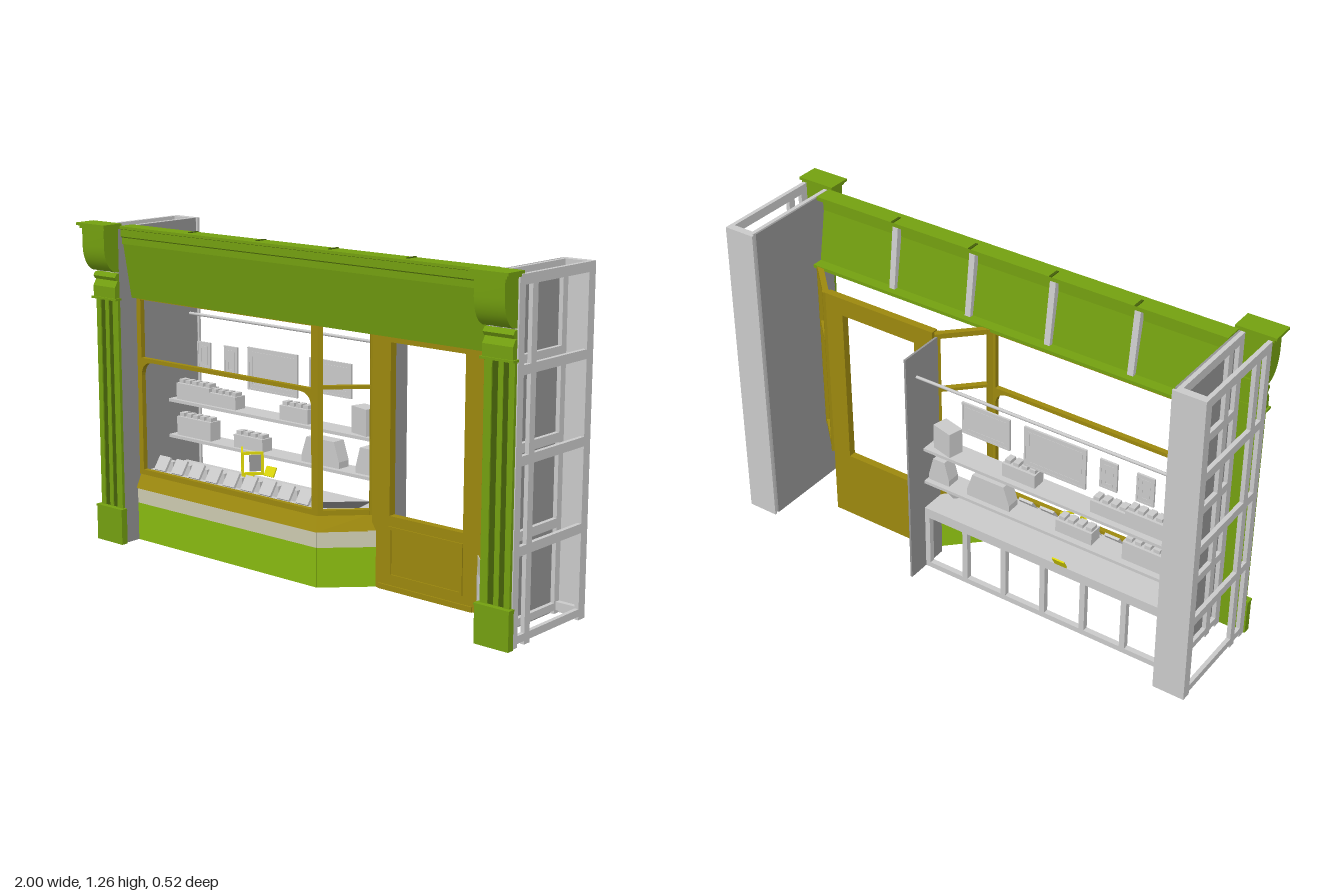
import * as THREE from 'three';
import { toCreasedNormals } from 'three/addons/utils/BufferGeometryUtils.js';

const paint = (name, color, side = THREE.FrontSide) => {
  const m = new THREE.MeshStandardMaterial({ color, side });
  m.name = name;
  return m;
};

export function createModel() {
  const green = paint('leaf green', 0x74a010);
  const bright = paint('bright green', 0x88ba10);
  const deep = paint('deep green', 0x456008);
  const olive = paint('olive wood', 0x9c880e, THREE.DoubleSide);
  const cream = paint('cream', 0xcccab0);
  const grey = paint('light grey', 0xcacaca);
  const slate = paint('mid grey', 0x959595, THREE.DoubleSide);
  const yellow = paint('yellow', 0xdcd60a);

  const root = new THREE.Group();
  root.name = 'shopfront';
  const add = (name, geo, mat, parent = root) => {
    const m = new THREE.Mesh(geo, mat);
    m.name = name;
    parent.add(m);
    return m;
  };
  // Box from its limits
  const box = (name, x0, x1, y0, y1, z0, z1, mat, parent) => {
    const m = add(name, new THREE.BoxGeometry(x1 - x0, y1 - y0, z1 - z0), mat, parent);
    m.position.set((x0 + x1) / 2, (y0 + y1) / 2, (z0 + z1) / 2);
    return m;
  };
  // Upright board standing on a plan line from a to b
  const wall = (name, [ax, az], [bx, bz], y0, y1, t, mat) => {
    const m = add(name, new THREE.BoxGeometry(Math.hypot(bx - ax, bz - az), y1 - y0, t), mat);
    m.position.set((ax + bx) / 2, (y0 + y1) / 2, (az + bz) / 2);
    m.rotation.y = Math.atan2(az - bz, bx - ax);
    return m;
  };
  const shapeOf = pts => new THREE.Shape(pts.map(p => new THREE.Vector2(...p)));
  const rect = (x0, x1, y0, y1) => shapeOf([[x0, y0], [x1, y0], [x1, y1], [x0, y1]]);
  const extrude = (shape, depth) =>
    new THREE.ExtrudeGeometry(shape, { depth, bevelEnabled: false, curveSegments: 8 });
  // Moulding: profile of [z, y] points run along x
  const moulding = (name, pts, x0, x1, mat, parent) => {
    const g = extrude(shapeOf(pts), x1 - x0).rotateY(-Math.PI / 2).translate(x1, 0, 0);
    return add(name, toCreasedNormals(g, 0.5), mat, parent);
  };
  // Sloped band between a lower and an upper path of equal length
  const band = (name, low, high, mat) => {
    const pos = [];
    for (let i = 0; i + 1 < low.length; i++) {
      const [a, b, c, d] = [low[i], low[i + 1], high[i + 1], high[i]];
      pos.push(...a, ...b, ...c, ...a, ...c, ...d);
    }
    const g = new THREE.BufferGeometry();
    g.setAttribute('position', new THREE.Float32BufferAttribute(pos, 3));
    g.computeVertexNormals();
    return add(name, g, mat);
  };

  // Side piers and pilasters
  const corbel = [[0.175, 1.235], [0.175, 1.07], [0.184, 1.07]];
  for (let i = 1; i <= 8; i++) {
    const a = i / 8 * Math.PI / 2;
    corbel.push([0.184 + 0.063 * Math.sin(a), 1.17 - 0.1 * Math.cos(a)]);
  }
  corbel.push([0.247, 1.235]);
  for (const s of [-1, 1]) {
    const pier = new THREE.Group();
    pier.name = s > 0 ? 'leftPier' : 'rightPier';
    root.add(pier);
    const b = (name, u0, u1, y0, y1, z0, z1, mat) =>
      box(name, Math.min(s * u0, s * u1), Math.max(s * u0, s * u1), y0, y1, z0, z1, mat, pier);
    b('innerPanel', 0.86, 0.868, 0, 1.24, -0.24, 0.175, slate);
    b('backPanel', 0.86, 0.984, 0, 1.24, -0.26, -0.25, grey);
    for (const u of [0.868, 0.968]) {
      for (const [z0, z1] of [[-0.25, -0.222], [0.07, 0.1], [0.14, 0.172]])
        b('pierStud', u, u + 0.016, 0, 1.24, z0, z1, grey);
      for (const [y0, y1] of [[0.013, 0.04], [0.312, 0.345], [0.615, 0.648], [0.914, 0.947], [1.205, 1.24]])
        b('pierRail', u, u + 0.016, y0, y1, -0.25, 0.172, grey);
    }
    for (const y of [0.013, 1.21]) b('pierCrossRail', 0.87, 0.98, y, y + 0.03, -0.25, -0.23, grey);

    b('pilasterShaft', 0.86, 0.98, 0.14, 0.965, 0.172, 0.178, green);
    b('shaftEdge', 0.86, 0.89, 0.14, 0.965, 0.178, 0.184, green);
    b('shaftEdge', 0.957, 0.98, 0.14, 0.965, 0.178, 0.184, green);
    b('shaftPanel', 0.89, 0.957, 0.14, 0.965, 0.177, 0.179, deep);
    b('shaftReed', 0.914, 0.934, 0.14, 0.965, 0.177, 0.182, green);
    b('pilasterBase', 0.85, 0.99, 0, 0.135, 0.172, 0.2, green);
    b('baseCap', 0.848, 0.992, 0.135, 0.142, 0.172, 0.203, green);
    const x0 = s > 0 ? 0.86 : -0.98, x1 = x0 + 0.12;
    moulding('corbel', corbel, x0, x1, green, pier);
    moulding('neckRoll', [[0.174, 1.065], [0.174, 1.035], [0.188, 1.037], [0.196, 1.05], [0.188, 1.063]], x0, x1, green, pier);
    moulding('neck', [[0.174, 1.035], [0.174, 0.97], [0.197, 0.97], [0.197, 1.012], [0.183, 1.035]], x0, x1, green, pier);
    b('neckPlate', 0.853, 0.987, 0.962, 0.97, 0.172, 0.203, green);
    b('capLower', 0.853, 0.99, 1.235, 1.246, 0.172, 0.252, green);
    b('capUpper', 0.845, 1, 1.246, 1.256, 0.17, 0.26, green);
  }

  // Fascia: leaning board, cornice, lintel and its back studs
  moulding('fasciaBoard', [[0.1, 0.965], [0.112, 0.965], [0.15, 1.18], [0.138, 1.18]], -0.86, 0.86, green);
  moulding('cornice', [[0.135, 1.176], [0.154, 1.176], [0.154, 1.2], [0.162, 1.205], [0.162, 1.232],
    [0.172, 1.235], [0.172, 1.245], [0.1, 1.245], [0.1, 1.23], [0.135, 1.23]], -0.86, 0.86, green);
  box('lintel', -0.86, 0.86, 0.965, 0.978, 0.06, 0.11, green);
  for (let i = 0; i < 4; i++) {
    const x = -0.51 + i * 0.34;
    moulding('fasciaStud', [[0.085, 0.978], [0.102, 0.978], [0.136, 1.18], [0.136, 1.23], [0.118, 1.23]], x - 0.012, x + 0.012, grey);
    box('topJoint', x - 0.005, x + 0.005, 1.245, 1.248, 0.1, 0.145, deep);
  }

  // Stall riser and sills, following the bay
  const front = [-0.86, 0.095], corner = [0.07, 0.095], inner = [0.238, -0.07];
  const rightIn = [0.665, -0.07], rightOut = [0.825, 0.09];
  for (const [a, b] of [[front, corner], [corner, inner]]) {
    wall('riser', a, b, 0, 0.15, 0.01, bright);
    wall('riserBand', a, b, 0.15, 0.212, 0.012, cream);
  }
  wall('riserBand', rightIn, rightOut, 0.15, 0.212, 0.01, cream);
  wall('floorRail', rightIn, rightOut, 0, 0.014, 0.02, grey);
  wall('riserStud', rightIn, [0.695, -0.04], 0, 0.15, 0.012, grey);
  band('frontSill', [[-0.86, 0.21, 0.108], [0.075, 0.21, 0.108], [0.245, 0.21, -0.07]],
    [[-0.86, 0.272, 0.078], [0.055, 0.272, 0.078], [0.205, 0.272, -0.07]], olive);
  band('rightSill', [[0.66, 0.21, -0.07], [0.83, 0.21, 0.1]], [[0.69, 0.272, -0.07], [0.845, 0.272, 0.08]], olive);

  // Front window with a rounded lower light
  const frame = rect(-0.86, 0.065, 0.265, 0.97);
  frame.holes.push(rect(-0.838, 0.036, 0.73, 0.957));
  const light = new THREE.Path();
  light.moveTo(-0.838, 0.285).lineTo(0.036, 0.285).lineTo(0.036, 0.66);
  light.quadraticCurveTo(0.034, 0.713, -0.022, 0.715).lineTo(-0.782, 0.715);
  light.quadraticCurveTo(-0.836, 0.713, -0.838, 0.66);
  frame.holes.push(light);
  add('frontWindowFrame', extrude(frame, 0.02), olive).position.z = 0.068;

  // Angled side windows
  for (const [a, b] of [[[0.055, 0.078], [0.203, -0.07]], [[0.695, -0.07], [0.845, 0.078]]]) {
    for (const [y0, y1] of [[0.265, 0.285], [0.73, 0.742], [0.955, 0.975]])
      wall('sideWindowRail', a, b, y0, y1, 0.022, olive);
    const dx = 0.014, dz = Math.sign(b[1] - a[1]) * 0.014;
    wall('sideWindowPost', a, [a[0] + dx, a[1] + dz], 0.265, 0.975, 0.026, olive);
    wall('sideWindowPost', [b[0] - dx, b[1] - dz], b, 0.265, 0.975, 0.026, olive);
  }

  // Door
  const door = rect(0.205, 0.69, 0, 0.98);
  door.holes.push(rect(0.287, 0.614, 0.278, 0.909));
  add('door', extrude(door, 0.03), olive).position.z = -0.08;
  box('kickBoard', 0.24, 0.66, 0, 0.02, -0.052, -0.044, olive);
  const trim = rect(0.285, 0.616, 0.05, 0.24);
  trim.holes.push(rect(0.297, 0.604, 0.062, 0.228));
  add('doorPanelTrim', extrude(trim, 0.005), olive).position.z = -0.05;

  // Display counter, its frame, partition and rod
  const top = shapeOf([[-0.86, -0.068], [0.05, -0.068], [0.19, 0.07], [0.19, 0.172], [-0.86, 0.172]]);
  add('counter', extrude(top, 0.018).rotateX(-Math.PI / 2), grey).position.y = 0.254;
  band('counterEdge', [[0.0, 0.275, 0.05], [0.13, 0.275, -0.07]], [[0.055, 0.31, 0.06], [0.19, 0.31, -0.07]], slate);
  for (const y of [0, 0.232]) box('counterRail', -0.86, 0.19, y, y + 0.022, -0.172, -0.15, grey);
  for (let i = 0; i < 7; i++) {
    const x = -0.86 + i * 0.171;
    box('counterLeg', x, x + 0.022, 0.022, 0.232, -0.172, -0.15, grey);
  }
  box('partition', 0.187, 0.195, 0, 0.965, -0.26, -0.07, slate);
  const rod = add('rod', new THREE.CylinderGeometry(0.006, 0.006, 1.05, 8).rotateZ(Math.PI / 2), grey);
  rod.position.set(-0.335, 0.865, -0.2);
  for (const y of [0.383, 0.528]) box('shelf', -0.86, 0.187, y, y + 0.012, -0.17, -0.075, grey);

  // Goods on the shelves: x range, base, height, number of tops
  const goods = [[-0.83, -0.65, 0.54, 0.065, 5], [-0.65, -0.51, 0.54, 0.05, 4], [-0.28, -0.14, 0.54, 0.055, 4],
    [-0.83, -0.645, 0.395, 0.075, 5], [-0.52, -0.37, 0.395, 0.05, 4]];
  for (const [x0, x1, y, h, n] of goods) {
    box('goodsBox', x0, x1, y, y + h, -0.145, -0.09, grey);
    const w = (x1 - x0) / n;
    for (let i = 0; i < n; i++)
      box('goodsTop', x0 + (i + 0.15) * w, x0 + (i + 0.8) * w, y + h, y + h + 0.014, -0.135, -0.1, grey);
  }
  const bag = (x0, x1, y, h, inset) => {
    const s = shapeOf([[x0, y], [x1, y], [x1, y + h * 0.25], [x1 - inset, y + h], [x0 + inset, y + h], [x0, y + h * 0.25]]);
    add('bag', extrude(s, 0.055), grey).position.z = -0.15;
  };
  bag(-0.175, 0.01, 0.395, 0.098, 0.025);
  bag(0.09, 0.18, 0.395, 0.098, 0.02);
  box('tin', 0.065, 0.155, 0.54, 0.64, -0.155, -0.095, grey).rotation.y = -0.25;

  // Cards leaning along the counter
  for (let i = 0; i < 9; i++) {
    const x = -0.79 + i * 0.093;
    box('card', x - 0.03, x + 0.03, 0.275, 0.335, 0.024, 0.034, grey).rotation.x = -0.6;
    box('cardStand', x - 0.012, x + 0.04, 0.272, 0.315, -0.01, 0.014, grey);
  }

  // Hanging pictures
  for (const [x0, x1, y0, y1] of [[-0.755, -0.685, 0.66, 0.775], [-0.61, -0.54, 0.66, 0.775],
    [-0.485, -0.23, 0.62, 0.785], [-0.17, 0.035, 0.655, 0.785]]) {
    box('picture', x0 + 0.005, x1 - 0.005, y0 + 0.005, y1 - 0.005, -0.14, -0.135, grey);
    for (const k of [0, 0.016]) {
      const ring = rect(x0 + k, x1 - k, y0 + k, y1 - k);
      ring.holes.push(rect(x0 + k + 0.008, x1 - k - 0.008, y0 + k + 0.008, y1 - k - 0.008));
      add('pictureFrame', extrude(ring, 0.008), grey).position.set(0, 0, -0.141);
    }
  }

  // Yellow folding stand
  const stand = new THREE.Group();
  stand.name = 'foldingStand';
  stand.position.set(-0.4, 0.32, -0.005);
  root.add(stand);
  for (const s of [-1, 1]) {
    const leaf = rect(0, 0.085, 0, 0.09);
    leaf.holes.push(rect(0.01, 0.075, 0.01, 0.08));
    const m = add('standLeaf', extrude(leaf, 0.008), yellow, stand);
    m.rotation.y = s > 0 ? 0.8 : Math.PI - 0.8;
  }
  box('standPanel', 0.01, 0.055, 0.012, 0.075, -0.045, -0.04, slate, stand).rotation.y = 0.8;
  box('standFoot', 0, 0.04, -0.045, 0, -0.03, 0.0, yellow, stand);
  box('ticket', -0.44, -0.39, 0.275, 0.315, -0.186, -0.18, yellow).rotation.x = -0.5;
  return root;
}
